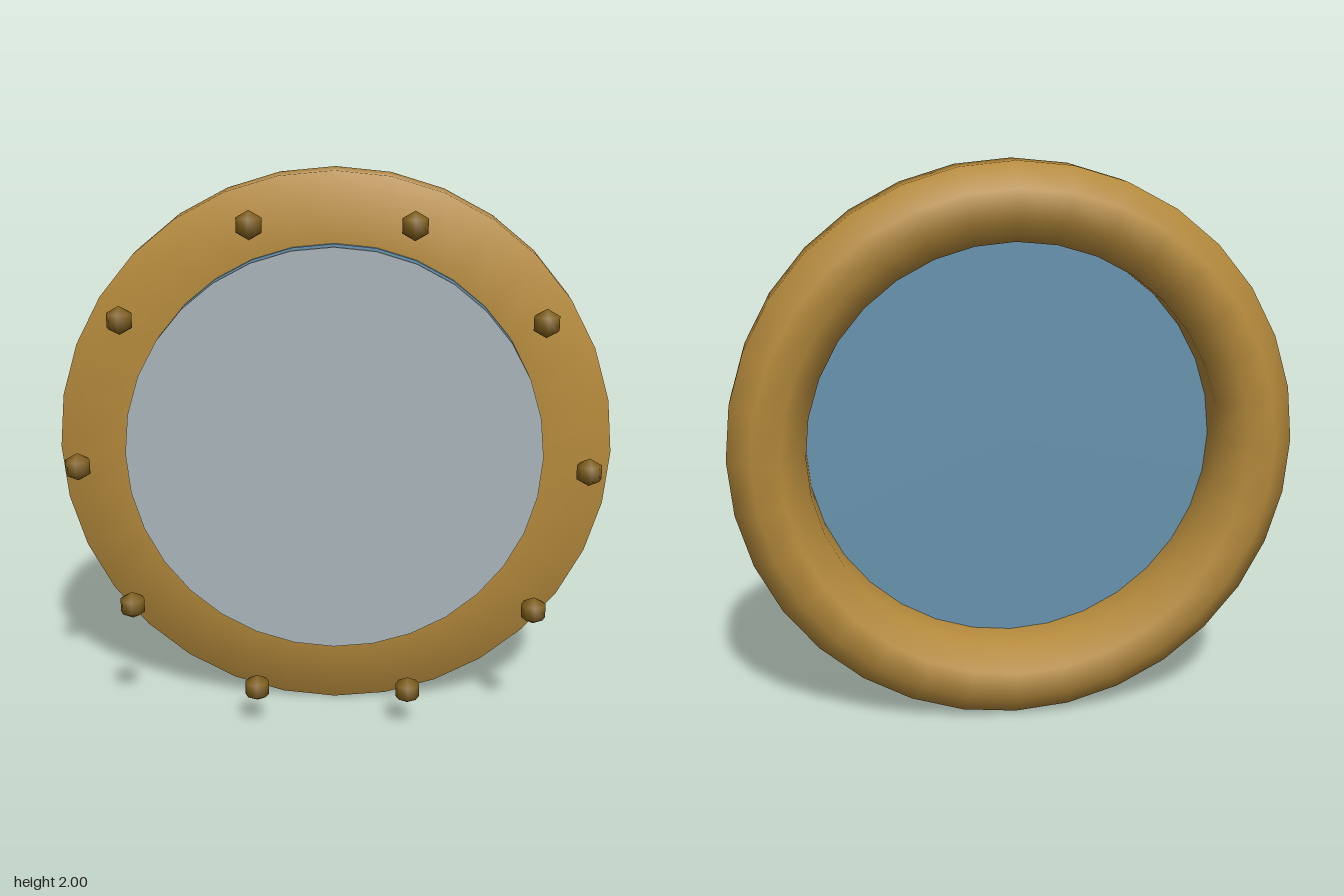
import * as THREE from 'three';

const SEGMENTS = 32;
const CENTRE_Y = 1;

function part(name, geometry, color) {
  const mesh = new THREE.Mesh(geometry, new THREE.MeshStandardMaterial({ color }));
  mesh.name = name;
  return mesh;
}

// Thin round plate facing +z, between two depths
function plate(name, radius, zBack, zFront, color) {
  const geometry = new THREE.CylinderGeometry(radius, radius, zFront - zBack, SEGMENTS);
  geometry.rotateX(Math.PI / 2);
  const mesh = part(name, geometry, color);
  mesh.position.set(0, CENTRE_Y, (zBack + zFront) / 2);
  return mesh;
}

export function createModel() {
  const group = new THREE.Group();
  group.name = 'porthole';

  // Frame ring: flat front face, chamfered towards the back
  const profile = [
    [0.73, -0.03], [0.73, -0.165], [0.815, -0.25],
    [0.915, -0.25], [1, -0.165], [1, -0.03], [0.73, -0.03],
  ].map(([r, z]) => new THREE.Vector2(r, z));
  const ring = part('frameRing', new THREE.LatheGeometry(profile, SEGMENTS).rotateX(Math.PI / 2), 0xb58a3c);
  ring.position.y = CENTRE_Y;
  group.add(ring);

  // Window panes
  group.add(plate('rearPane', 0.75, -0.03, -0.015, 0x6792ad));
  group.add(plate('frontPane', 0.75, 0.04, 0.055, 0xaab5ba));

  // Ten rivets floating in front of the frame
  const rivets = new THREE.Group();
  rivets.name = 'rivets';
  const rivetGeometry = new THREE.SphereGeometry(0.05, 8, 3);
  for (let i = 0; i < 10; i++) {
    const a = (i / 10) * Math.PI * 2;
    const rivet = part('rivet', rivetGeometry, 0x80601f);
    rivet.position.set(0.89 * Math.cos(a), CENTRE_Y + 0.89 * Math.sin(a), 0.207);
    rivets.add(rivet);
  }
  group.add(rivets);

  return group;
}
